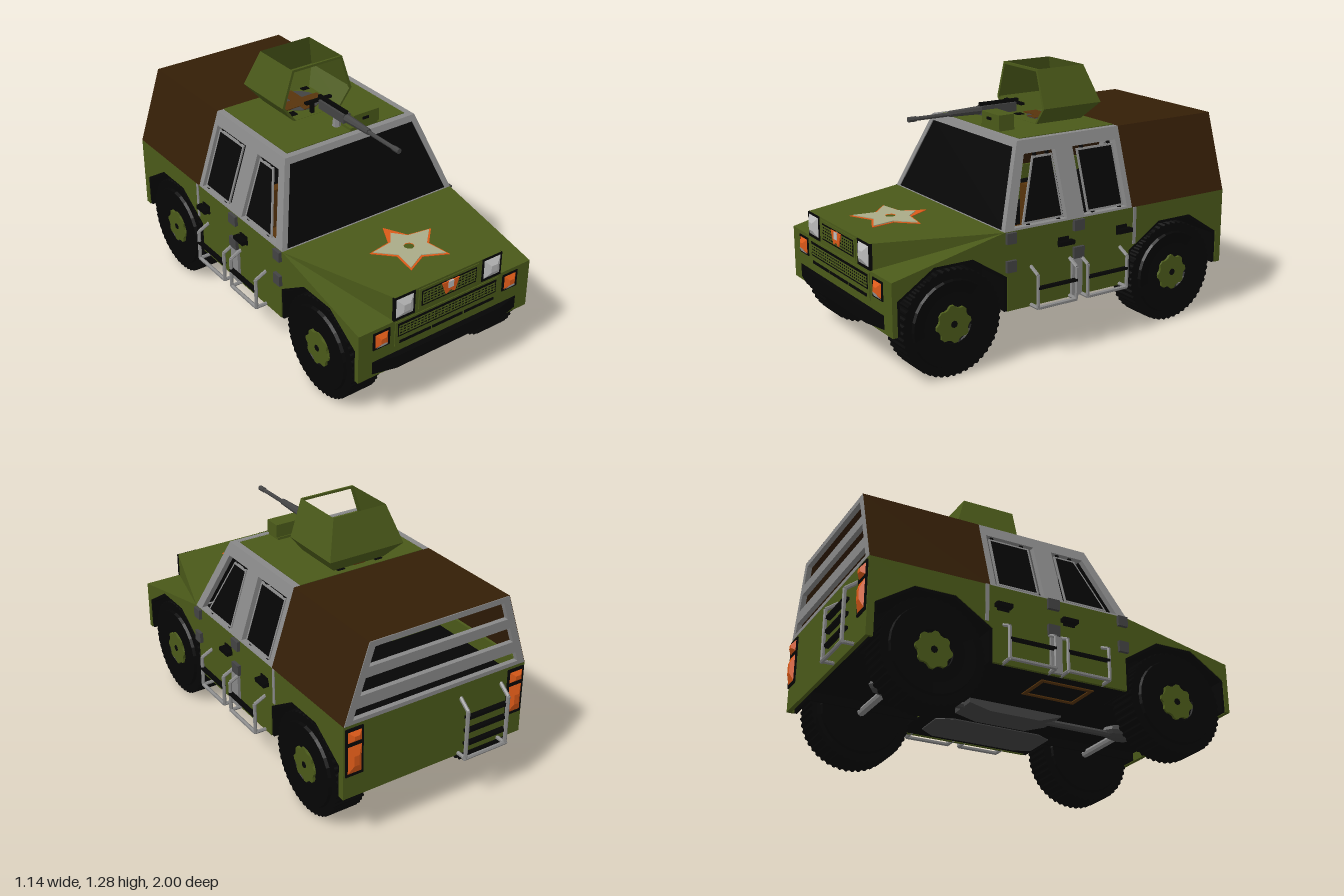
import * as THREE from 'three';

const mat = (name, color, double) => {
  const m = new THREE.MeshStandardMaterial({ color });
  m.name = name;
  if (double) m.side = THREE.DoubleSide;
  return m;
};

export function createModel() {
  const root = new THREE.Group();
  root.name = 'armouredTruck';
  const green = mat('olive green', 0x4a5919, true), black = mat('black', 0x050505, true);
  const gray = mat('frame gray', 0x888888), steel = mat('dark steel', 0x434343);
  const canvas = mat('canvas brown', 0x341e06, true), brown = mat('leather brown', 0x58340c);
  const orange = mat('orange', 0xdc5a18), lamp = mat('lamp gray', 0xbcbcbc), cream = mat('cream', 0xaaab88);

  // ---- helpers ----
  const add = (name, geo, m) => {
    const g = geo.index ? geo.toNonIndexed() : geo;
    g.clearGroups();
    g.computeVertexNormals();
    const mesh = new THREE.Mesh(g, m);
    mesh.name = name;
    root.add(mesh);
  };
  // mirror across x = 0 and restore the winding
  const flip = (geo) => {
    const g = geo.index ? geo.toNonIndexed() : geo.clone();
    const p = g.attributes.position;
    for (let i = 0; i < p.count; i += 3) {
      const v = [0, 2, 1].map((k) => new THREE.Vector3().fromBufferAttribute(p, i + k));
      v.forEach((q, k) => p.setXYZ(i + k, -q.x, q.y, q.z));
    }
    return g;
  };
  const pair = (name, geo, m) => {
    add(name + 'Right', flip(geo), m);
    add(name + 'Left', geo, m);
  };
  const box = (x0, x1, y0, y1, z0, z1) =>
    new THREE.BoxGeometry(x1 - x0, y1 - y0, z1 - z0).translate((x0 + x1) / 2, (y0 + y1) / 2, (z0 + z1) / 2);
  const bar = (a, b, r, r2 = r, sides = 6) => {
    const A = new THREE.Vector3(...a), B = new THREE.Vector3(...b), d = B.clone().sub(A);
    const q = new THREE.Quaternion().setFromUnitVectors(new THREE.Vector3(0, 1, 0), d.clone().normalize());
    return new THREE.CylinderGeometry(r2, r, d.length(), sides).applyQuaternion(q)
      .translate(...A.add(B).multiplyScalar(0.5).toArray());
  };
  const poly = (pts) => new THREE.Shape(pts.map((p) => new THREE.Vector2(...p)));
  const slab = (pts, depth, holes = []) => {
    const s = poly(pts);
    holes.forEach((h) => s.holes.push(poly(h)));
    return new THREE.ExtrudeGeometry(s, { depth, bevelEnabled: false });
  };
  // slab drawn in (z, y), its outer face at x
  const sideSlab = (pts, x, t, holes) => slab(pts, t, holes).rotateY(-Math.PI / 2).translate(x, 0, 0);
  const faces = (list) => {
    const a = [];
    list.forEach((f) => { for (let i = 1; i < f.length - 1; i++) a.push(...f[0], ...f[i], ...f[i + 1]); });
    return new THREE.BufferGeometry().setAttribute('position', new THREE.Float32BufferAttribute(a, 3));
  };
  // lean a geometry by height above the belt line
  const lean = (geo, kx, kz) => {
    const p = geo.attributes.position;
    for (let i = 0; i < p.count; i++) {
      const h = p.getY(i) - 0.635;
      p.setXYZ(i, p.getX(i) - h * kx, p.getY(i), p.getZ(i) - h * kz);
    }
    return geo;
  };
  const mirrorPts = (half) => [...half, ...half.slice().reverse().map(([x, y]) => [-x, y])];
  const ring = (n, fn) => Array.from({ length: n }, (_, i) => {
    const a = (i / n) * Math.PI * 2, r = fn(i);
    return [Math.sin(a) * r, Math.cos(a) * r];
  });
  const rect = (x0, x1, y0, y1) => [[x0, y0], [x1, y0], [x1, y1], [x0, y1]];

  // ---- lower body ----
  const arch = (c, o = 0) => [[0.285 - o, 0.255], [0.285 - o, 0.42 - o / 2], [0.1 - o / 3, 0.54 - o],
    [-0.1 + o / 3, 0.54 - o], [-0.285 + o, 0.42 - o / 2], [-0.285 + o, 0.255]].map(([z, y]) => [c + z, y]);
  const axleZ = [0.66, -0.615];
  pair('bodySide', sideSlab([[-0.935, 0.255], [-0.935, 0.635], [0.39, 0.635], [0.97, 0.51], [0.97, 0.255],
    ...arch(axleZ[0]), ...arch(axleZ[1])], 0.505, 0.015), green);
  add('frontPanel', slab(mirrorPts([[0.49, 0.255], [0.49, 0.51], [0.31, 0.51], [0.31, 0.635]]), 0.02).translate(0, 0, 0.95), green);
  add('tailgate', box(-0.49, 0.49, 0.255, 0.635, -0.935, -0.915), green);
  add('hoodTop', faces([[[-0.505, 0.635, 0.39], [-0.31, 0.635, 0.97], [0.31, 0.635, 0.97], [0.505, 0.635, 0.39]]]), green);
  const A = [0.31, 0.635, 0.97], B = [0.31, 0.51, 0.97], C = [0.505, 0.635, 0.39], D = [0.505, 0.51, 0.97];
  pair('fenderTop', faces([[A, B, C], [B, D, C]]), green);
  add('floor', box(-0.3, 0.3, 0.3, 0.31, -0.915, 0.95), black);
  add('cabinFloor', box(-0.49, 0.49, 0.258, 0.268, -0.33, 0.375), black);
  add('cargoBed', box(-0.48, 0.48, 0.55, 0.56, -0.915, -0.34), black);
  add('firewall', box(-0.48, 0.48, 0.268, 0.62, 0.365, 0.375), black);
  // underbody panels
  add('tankPanel', slab([[0.24, -0.38], [0.42, -0.38], [0.46, -0.3], [0.46, 0.18], [0.4, 0.26], [0.24, 0.26], [0.2, 0.18], [0.2, -0.3]], 0.006)
    .rotateX(-Math.PI / 2).translate(0, 0.253, 0), steel);
  add('floorHatchRim', slab(rect(-0.43, -0.24, -0.24, 0.04), 0.006, [rect(-0.41, -0.26, -0.22, 0.02)])
    .rotateX(-Math.PI / 2).translate(0, 0.253, 0), brown);

  // ---- wheels and arches ----
  axleZ.forEach((z, k) => {
    const end = k ? 'rear' : 'front';
    pair(end + 'ArchLiner', sideSlab([...arch(z), ...arch(z, 0.015).reverse()], 0.5, 0.2), black);
    pair(end + 'ArchWall', sideSlab(arch(z), 0.31, 0.01), black);
    const at = (g) => g.translate(0, 0.255, z);
    const tire = new THREE.LatheGeometry([[0.06, -0.093], [0.205, -0.093], [0.21, -0.078], [0.247, -0.076], [0.247, 0.076],
      [0.21, 0.078], [0.205, 0.093], [0.15, 0.088], [0.095, 0.088], [0.09, 0.07], [0.05, 0.07]]
      .map((p) => new THREE.Vector2(...p)), 28);
    pair(end + 'Tire', at(tire.rotateZ(-Math.PI / 2).translate(0.412, 0, 0)), black);
    pair(end + 'Tread', at(sideSlab(ring(192, (i) => (i % 4 < 2 ? 0.255 : 0.248)), 0.49, 0.155)), black);
    pair(end + 'Hub', at(sideSlab(ring(32, (i) => (i % 4 < 2 ? 0.09 : 0.078)), 0.504, 0.03)), green);
    pair(end + 'HubCap', at(sideSlab(ring(8, () => 0.017), 0.506, 0.01)), black);
    // axle and differential
    add(end + 'Axle', bar([-0.4, 0.255, z], [0.4, 0.255, z], 0.02, 0.02, 8), gray);
    add(end + 'Differential', new THREE.SphereGeometry(0.05, 8, 6).scale(1.2, 0.8, 2).translate(0, 0.26, z), steel);
  });
  add('driveShaft', bar([0, 0.245, -0.6], [0, 0.245, 0.64], 0.018, 0.018, 8), steel);
  add('transferCase', sideSlab([[0.27, 0.25], [0.15, 0.21], [-0.12, 0.21], [-0.23, 0.235], [-0.23, 0.29], [0.27, 0.29]], 0.08, 0.16), steel);

  // ---- cab ----
  const kx = 0.329, kz = 0.395;
  pair('cabSideFrame', lean(sideSlab([[0.39, 0.635], [0.24, 1.015], [-0.345, 1.015], [-0.345, 0.635]], 0.505, 0.03, [
    [[0.335, 0.645], [0.04, 0.645], [0.04, 0.955], [0.215, 0.955]], rect(-0.315, -0.06, 0.645, 0.955)]), kx, 0), gray);
  // each side window is a dark pane in a thin pale surround
  const pane = (name, outer, inner) => {
    pair(name + 'Surround', lean(sideSlab(outer, 0.498, 0.008, [inner]), kx, 0), gray);
    pair(name, lean(sideSlab(inner, 0.497, 0.006), kx, 0), black);
  };
  pane('frontSideWindow', [[0.285, 0.652], [0.056, 0.652], [0.056, 0.938], [0.168, 0.938]],
    [[0.272, 0.661], [0.065, 0.661], [0.065, 0.929], [0.163, 0.929]]);
  pane('rearSideWindow', rect(-0.3, -0.085, 0.652, 0.94), rect(-0.291, -0.094, 0.661, 0.931));
  [[0.25, 0.637], [0.08, 0.637], [-0.12, 0.637], [-0.28, 0.637], [0.15, 0.93], [0.08, 0.93], [-0.12, 0.93], [-0.28, 0.93]]
    .forEach(([z, y]) => pair('windowClip', lean(box(0.485, 0.495, y, y + 0.028, z - 0.008, z + 0.008), kx, 0), black));
  add('windshieldFrame', lean(slab(mirrorPts([[0.505, 0.635], [0.38, 1.015]]), 0.025,
    [mirrorPts([[0.484, 0.637], [0.362, 0.985]])]).translate(0, 0, 0.365), 0, kz), gray);
  add('windshield', lean(slab(mirrorPts([[0.49, 0.635], [0.37, 0.99]]), 0.006).translate(0, 0, 0.378), 0, kz), black);
  add('roofFrame', box(-0.375, 0.375, 0.99, 1.014, -0.345, 0.235), gray);
  add('roofPanel', box(-0.345, 0.345, 1.012, 1.017, -0.345, 0.205), green);
  [-0.24, 0.24].forEach((x) => {
    add('seatBase', box(x - 0.12, x + 0.12, 0.45, 0.52, -0.02, 0.2), brown);
    add('seatBack', box(x - 0.12, x + 0.12, 0.45, 0.73, 0.0, 0.045), brown);
  });

  // ---- canvas top and rear frame ----
  pair('canvasSide', faces([[[0.505, 0.635, -0.345], [0.505, 0.635, -0.935], [0.38, 1.015, -0.935], [0.38, 1.015, -0.345]]]), canvas);
  add('canvasTop', faces([[[-0.38, 1.015, -0.345], [0.38, 1.015, -0.345], [0.38, 1.015, -0.935], [-0.38, 1.015, -0.935]]]), canvas);
  const slot = (y0, y1) => [y0, y1].map((y) => [0.465 - (y - 0.635) * kx, y]);
  add('rearFrame', slab(mirrorPts([[0.503, 0.635], [0.378, 1.013]]), 0.025,
    [[0.655, 0.705], [0.765, 0.845], [0.895, 0.985]].map(([a, b]) => mirrorPts(slot(a, b)))).translate(0, 0, -0.936), gray);

  // ---- door fittings and side steps ----
  [[0.36, 0.026], [-0.02, 0.03]].forEach(([z, w]) => [[0.58, 0.632], [0.445, 0.5]].forEach(([y0, y1]) =>
    pair('hinge', box(0.5, 0.522, y0, y1, z - w, z + w), steel)));
  pair('rearDoorStrip', box(0.5, 0.509, 0.45, 0.635, -0.37, -0.352), gray);
  [0.065, -0.28].forEach((z) => {
    pair('handlePlate', box(0.5, 0.512, 0.515, 0.56, z - 0.03, z + 0.03), black);
    pair('doorHandle', box(0.51, 0.54, 0.525, 0.545, z - 0.045, z + 0.035), black);
  });
  pair('centrePost', box(0.5, 0.52, 0.26, 0.445, -0.04, 0.02), gray);
  [[0.245, 0.025], [-0.04, -0.275]].forEach(([z0, z1]) => {
    [z0, z1].forEach((z) => {
      const p = [[0.5, 0.45, z], [0.562, 0.42, z], [0.562, 0.262, z], [0.49, 0.262, z]];
      for (let i = 0; i < 3; i++) pair('stepBracket', bar(p[i], p[i + 1], 0.009), gray);
    });
    pair('stepRail', bar([0.562, 0.262, z0], [0.562, 0.262, z1], 0.01), gray);
    pair('upperStep', box(0.55, 0.572, 0.352, 0.364, z1, z0), black);
  });

  // ---- front details ----
  const frontBox = (name, x0, x1, y0, y1, z, m) => add(name, box(x0, x1, y0, y1, 0.965, z), m);
  frontBox('upperGrilleFrame', -0.175, 0.175, 0.52, 0.625, 0.974, green);
  frontBox('lowerGrilleFrame', -0.305, 0.305, 0.37, 0.5, 0.974, green);
  frontBox('upperGrille', -0.16, 0.16, 0.533, 0.612, 0.976, black);
  frontBox('lowerGrille', -0.29, 0.29, 0.42, 0.49, 0.976, black);
  // fine slats and bars make the grille mesh
  const mesh = (name, w, y0, rows) => {
    for (let i = 0; i < rows; i++) frontBox(name + 'Slat', -w, w, y0 + i * 0.0145, y0 + i * 0.0145 + 0.006, 0.978, green);
    for (let x = -w; x < w; x += 0.02) frontBox(name + 'Bar', x, x + 0.005, y0, y0 + rows * 0.0145 - 0.0085, 0.978, green);
  };
  mesh('upperMesh', 0.155, 0.541, 5);
  mesh('lowerMesh', 0.285, 0.428, 4);
  [-0.19, 0, 0.19].forEach((x) => frontBox('airSlot', x - 0.09, x + 0.09, 0.382, 0.396, 0.977, black));
  add('grilleBadge', slab([[-0.05, 0.61], [-0.025, 0.545], [0, 0.56], [0.025, 0.545], [0.05, 0.61]], 0.006).translate(0, 0, 0.978), orange);
  frontBox('badgeCentre', -0.015, 0.015, 0.575, 0.61, 0.987, lamp);
  add('bumper', slab([[0.428, 0.965], [0.428, 0.972], [0.31, 1.0], [-0.31, 1.0], [-0.428, 0.972], [-0.428, 0.965]], 0.065)
    .rotateX(Math.PI / 2).translate(0, 0.338, 0), black);
  const lens = (w, h, d) => new THREE.CylinderGeometry(0.25, 0.707, d, 4).rotateY(Math.PI / 4).rotateX(Math.PI / 2).scale(w, h, 1);
  pair('headlightSurround', box(0.197, 0.315, 0.512, 0.634, 0.96, 0.974), black);
  pair('headlight', lens(0.104, 0.104, 0.02).translate(0.256, 0.575, 0.982), lamp);
  pair('signalSurround', box(0.333, 0.427, 0.402, 0.492, 0.96, 0.974), black);
  pair('signalLamp', lens(0.075, 0.075, 0.018).translate(0.38, 0.447, 0.981), orange);
  // pale lower facet of each signal
  pair('signalLower', faces([[[0.346, 0.408, 0.975], [0.414, 0.408, 0.975], [0.395, 0.437, 0.993], [0.365, 0.437, 0.993]]]), lamp);

  // hood star with a shadow border
  const star = (r, tip, waist, t) => slab(ring(10, (i) => (i === 0 ? tip : i % 2 ? waist : r)), t, [ring(8, () => 0.026)])
    .rotateX(-Math.PI / 2).translate(-0.008, 0.635, 0.695);
  add('hoodStarBorder', star(0.192, 0.195, 0.1, 0.003), orange);
  add('hoodStar', star(0.175, 0.135, 0.089, 0.007), cream);

  // ---- rear details ----
  pair('tailLampSurround', box(0.405, 0.497, 0.375, 0.62, -0.943, -0.93), black);
  [[0.46, 0.145], [0.578, 0.058]].forEach(([y, h]) =>
    pair('tailLamp', lens(0.075, h, 0.018).rotateY(Math.PI).translate(0.451, y, -0.951), orange));
  [-0.37, -0.135].forEach((x) => {
    const p = [[x, 0.565, -0.93], [x, 0.52, -0.99], [x, 0.265, -0.99], [x, 0.265, -0.93]];
    for (let i = 0; i < 3; i++) add('ladderRail', bar(p[i], p[i + 1], 0.01), gray);
  });
  [0.33, 0.4, 0.47].forEach((y) => add('ladderRung', box(-0.37, -0.135, y, y + 0.014, -0.99, -0.965), black));
  add('ladderFoot', bar([-0.38, 0.265, -0.99], [-0.125, 0.265, -0.99], 0.01), gray);

  // ---- turret shield: walls on three sides, open above, with a rim round the front opening ----
  const rings = [[1.017, 0.14, -0.305], [1.1, 0.205, -0.375], [1.285, 0.145, -0.31]]
    .map(([y, w, b]) => [[-w, y, -0.035], [-w, y, b], [w, y, b], [w, y, -0.035]]);
  const walls = [];
  for (let j = 0; j < 2; j++) for (let i = 0; i < 3; i++)
    walls.push([rings[j][i + 1], rings[j][i], rings[j + 1][i], rings[j + 1][i + 1]]);
  add('turretShield', faces(walls), green);
  add('shieldRim', slab(mirrorPts([[0.14, 1.017], [0.205, 1.1], [0.145, 1.285]]), 0.01,
    [mirrorPts([[0.128, 1.018], [0.191, 1.1], [0.135, 1.273]])]).translate(0, 0, -0.045), green);
  add('hatch', new THREE.CylinderGeometry(0.105, 0.105, 0.005, 16).translate(0, 1.018, -0.2), steel);
  [[-1, -1], [-1, 1], [1, -1], [1, 1]].forEach(([a, b]) =>
    add('hatchCorner', box(a * 0.105 - 0.02, a * 0.105 + 0.02, 1.015, 1.021, -0.2 + b * 0.1 - 0.02, -0.2 + b * 0.1 + 0.02), black));
  add('hatchStrap', box(-0.122, 0.122, 1.018, 1.024, -0.215, -0.14), brown);
  add('hatchSeat', box(-0.032, 0.032, 1.018, 1.023, -0.31, -0.1), brown);

  // ---- roof gun ----
  add('gunMount', bar([0, 1.015, 0.12], [0, 1.08, 0.12], 0.022, 0.015), gray);
  add('gunReceiver', box(-0.02, 0.02, 1.065, 1.11, 0.0, 0.2), steel);
  add('barrelJacket', bar([0, 1.09, 0.2], [0, 1.09, 0.37], 0.021, 0.015, 8), steel);
  add('barrel', bar([0, 1.088, 0.34], [0, 1.088, 0.59], 0.01, 0.01, 8), steel);
  add('muzzle', bar([0, 1.088, 0.55], [0, 1.088, 0.592], 0.013, 0.013, 8), steel);
  add('gunSight', box(-0.008, 0.008, 1.108, 1.126, -0.02, 0.2), black);
  add('gunGrip', box(-0.09, 0.06, 1.1, 1.112, -0.02, 0.0), black);
  add('gunHandle', box(-0.06, -0.045, 1.05, 1.105, -0.02, 0.0), black);
  add('ammoBox', box(0.035, 0.185, 1.03, 1.095, 0.125, 0.21), green);
  add('ammoBoxShelf', box(0.02, 0.18, 1.017, 1.03, 0.12, 0.205), green);
  add('ammoBoxLatch', box(0.085, 0.12, 1.062, 1.075, 0.205, 0.215), black);
  return root;
}
